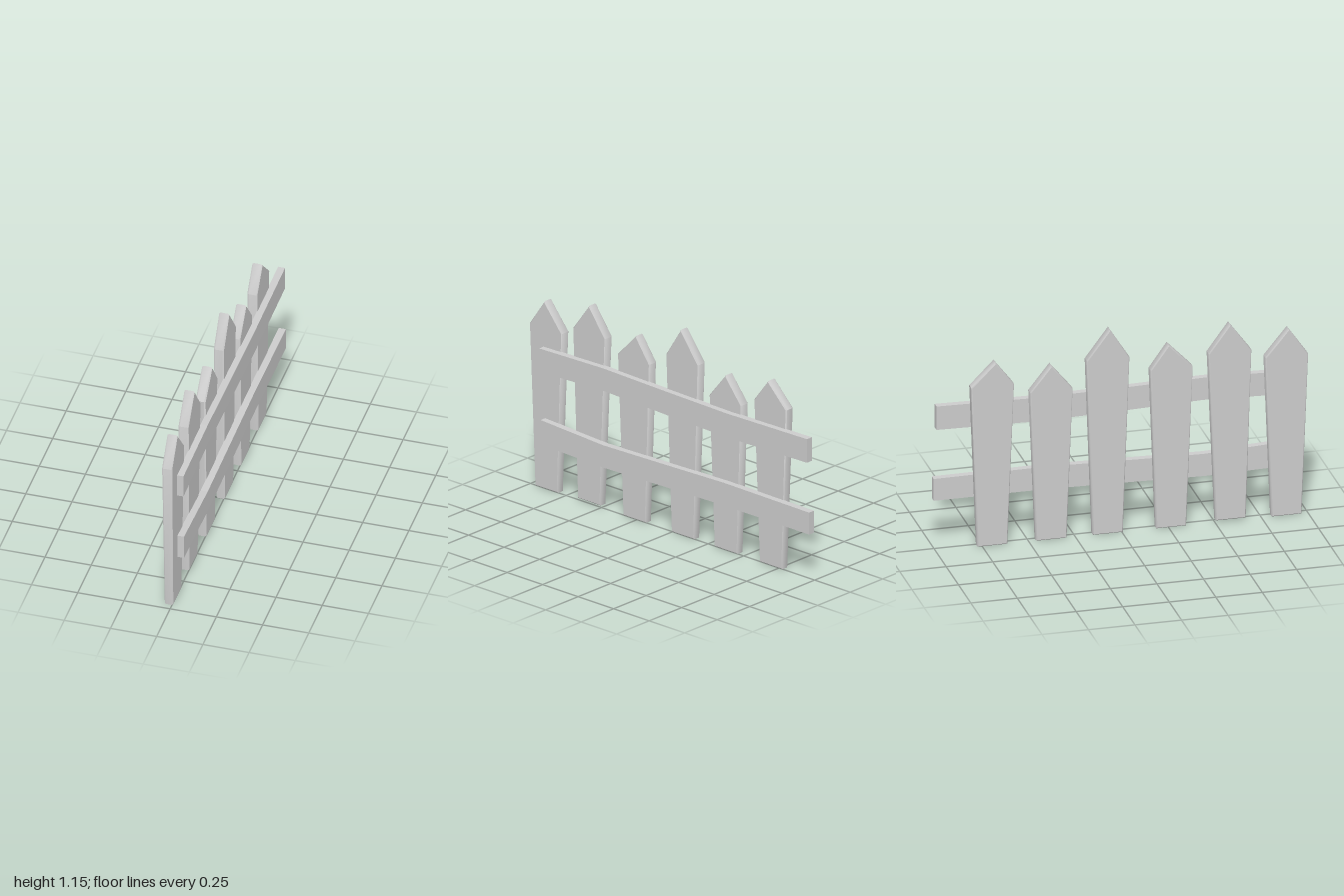
import * as THREE from 'three';
import { toCreasedNormals } from 'three/addons/utils/BufferGeometryUtils.js';

const material = new THREE.MeshStandardMaterial({ color: 0xcccccc });

// Extrudes an outline drawn in (-z, y) so that it spans x0..x1, with optional chamfered edges
function board(name, outline, x0, x1, bevel = 0) {
  const shape = new THREE.Shape(outline.map(([s, y]) => new THREE.Vector2(s, y)));
  const geometry = new THREE.ExtrudeGeometry(shape, {
    depth: x1 - x0 - 2 * bevel,
    bevelEnabled: bevel > 0,
    bevelThickness: bevel,
    bevelSize: bevel * 0.75,
    bevelOffset: -bevel * 0.75,
    bevelSegments: 1,
  });
  geometry.translate(0, 0, x0 + bevel);
  geometry.rotateY(Math.PI / 2);
  const mesh = new THREE.Mesh(geometry, material);
  mesh.name = name;
  return mesh;
}

// Pointed picket, slightly narrower and thinner towards the foot
function picket({ foot, shoulder, tip, shoulderY, tipY, footY = 0 }) {
  const mesh = board('picket', [
    [foot[0], footY], [foot[1], footY],
    [shoulder[1], shoulderY], [tip, tipY], [shoulder[0], shoulderY],
  ], -0.045, 0.01, 0.007);
  const p = mesh.geometry.attributes.position;
  const middle = -0.0175;
  for (let i = 0; i < p.count; i++) {
    const k = 0.84 + 0.16 * Math.min(1, p.getY(i) / shoulderY);
    p.setX(i, middle + (p.getX(i) - middle) * k);
  }
  mesh.geometry = toCreasedNormals(mesh.geometry, 0.77);
  return mesh;
}

// Slightly wavy rail given as [s, bottom, top] stations
function rail(name, stations) {
  const bottom = stations.map(([s, b]) => [s, b]);
  const top = stations.map(([s, , t]) => [s, t]).reverse();
  return board(name, [...bottom, ...top], 0.005, 0.043);
}

export function createModel() {
  const fence = new THREE.Group();
  fence.name = 'picketFence';

  // Six uneven pickets
  const pickets = [
    { foot: [-0.965, -0.805], shoulder: [-1.0, -0.77], tip: -0.895, shoulderY: 0.9, tipY: 1.05 },
    { foot: [-0.665, -0.505], shoulder: [-0.695, -0.465], tip: -0.58, shoulderY: 0.955, tipY: 1.11, footY: 0.01 },
    { foot: [-0.345, -0.185], shoulder: [-0.38, -0.153], tip: -0.25, shoulderY: 0.895, tipY: 1.03 },
    { foot: [-0.005, 0.155], shoulder: [-0.04, 0.19], tip: 0.065, shoulderY: 0.985, tipY: 1.15 },
    { foot: [0.297, 0.46], shoulder: [0.265, 0.493], tip: 0.38, shoulderY: 0.84, tipY: 0.98 },
    { foot: [0.615, 0.775], shoulder: [0.58, 0.81], tip: 0.68, shoulderY: 0.9, tipY: 1.03 },
  ];
  pickets.forEach((p) => fence.add(picket(p)));

  // Two rails along one side of the pickets
  fence.add(rail('upperRail', [
    [-0.9, 0.665, 0.795], [-0.45, 0.68, 0.805], [0, 0.665, 0.795], [0.42, 0.655, 0.788], [0.985, 0.665, 0.797],
  ]));
  fence.add(rail('lowerRail', [
    [-0.89, 0.26, 0.397], [-0.45, 0.25, 0.375], [0, 0.26, 0.385], [0.4, 0.268, 0.395], [1.0, 0.267, 0.39],
  ]));
  return fence;
}
